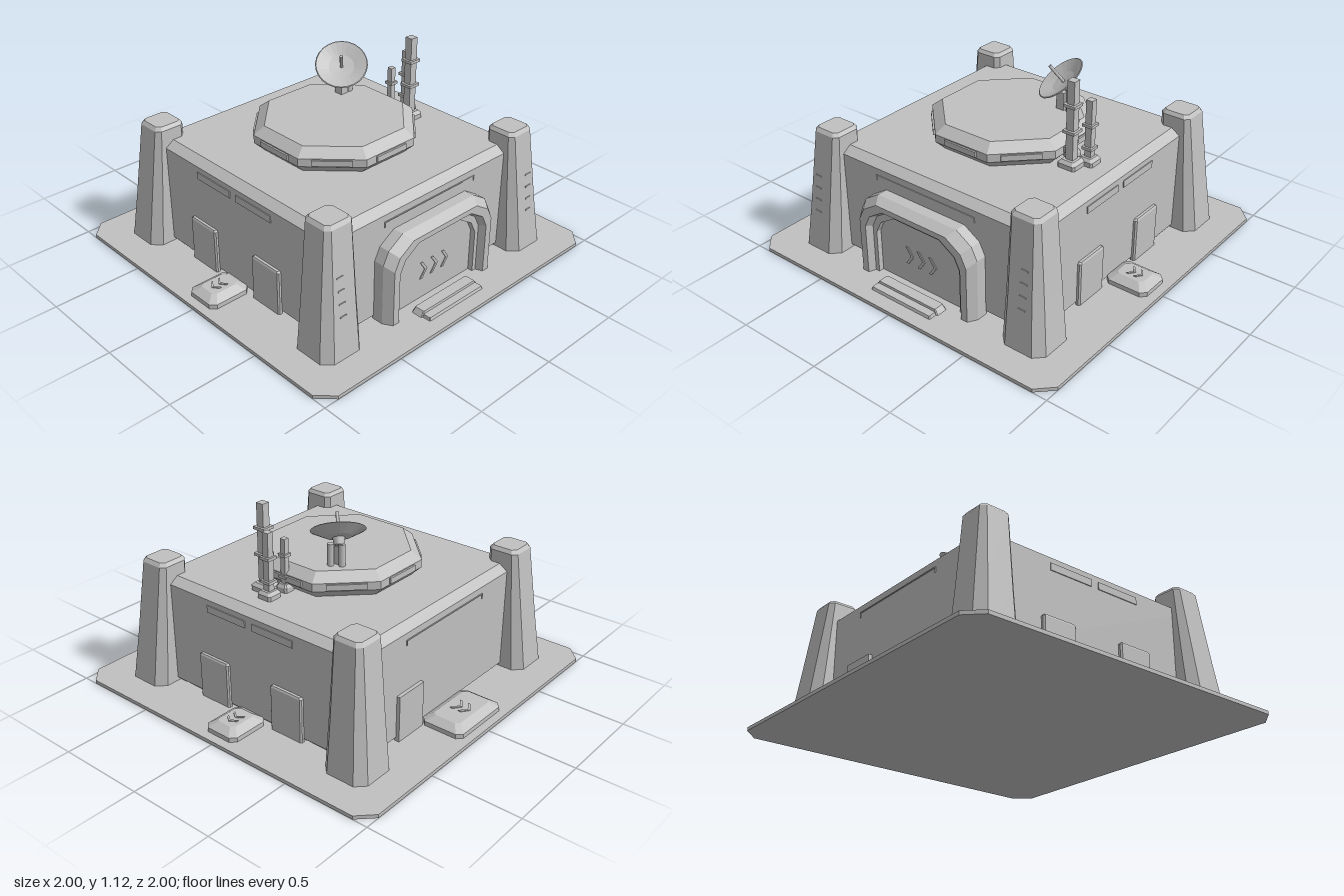
import * as THREE from 'three';

const grey = new THREE.MeshStandardMaterial({ color: 0xc0c0c0 });
grey.name = 'light grey';

// Faceted surface through rings of points; closed rings also get end caps.
function loft(rings, closed = true) {
  const v = [];
  const n = rings[0].length;
  for (let r = 0; r + 1 < rings.length; r++) {
    for (let i = 0; i < (closed ? n : n - 1); i++) {
      const j = (i + 1) % n;
      const [a, b, c, d] = [rings[r][i], rings[r][j], rings[r + 1][j], rings[r + 1][i]];
      v.push(...a, ...b, ...c, ...a, ...c, ...d);
    }
  }
  if (closed) {
    const lo = rings[0], hi = rings[rings.length - 1];
    for (let i = 1; i < n - 1; i++) {
      v.push(...hi[0], ...hi[i], ...hi[i + 1], ...lo[0], ...lo[i + 1], ...lo[i]);
    }
  }
  const g = new THREE.BufferGeometry();
  g.setAttribute('position', new THREE.Float32BufferAttribute(v, 3));
  g.computeVertexNormals();
  return g;
}

// Horizontal rectangle with cut corners.
function ring(y, hx, hz, c, cx = 0, cz = 0) {
  return [
    [hx, hz - c], [hx, c - hz], [hx - c, -hz], [c - hx, -hz],
    [-hx, c - hz], [-hx, hz - c], [c - hx, hz], [hx - c, hz],
  ].map(([x, z]) => [cx + x, y, cz + z]);
}

// Doorway outline, from the right foot over the top to the left foot.
function arch(w, h, z) {
  const half = [[w, 0.02], [w, h - 0.13], [w - 0.035, h - 0.06], [w - 0.13, h]];
  const other = half.map(([x, y]) => [-x, y]).reverse();
  return [...half, ...other].map(([x, y]) => [x, y, z]);
}

// Thin chevron pointing to +x in the xy plane.
function chevronGeometry(s) {
  const pts = [[-0.5, 1], [-0.15, 1], [0.55, 0], [-0.15, -1], [-0.5, -1], [0.2, 0]];
  const shape = new THREE.Shape(pts.map(([x, y]) => new THREE.Vector2(x * s, y * s)));
  return new THREE.ExtrudeGeometry(shape, { depth: 0.005, bevelEnabled: false });
}

export function createModel() {
  const model = new THREE.Group();
  model.name = 'outpostBuilding';

  const add = (name, geometry, x = 0, y = 0, z = 0, parent = model) => {
    const m = new THREE.Mesh(geometry, grey);
    m.name = name;
    m.position.set(x, y, z);
    parent.add(m);
    return m;
  };
  const box = (name, w, h, d, x, y, z, parent) =>
    add(name, new THREE.BoxGeometry(w, h, d), x, y, z, parent);

  // Ground plate and main hall
  add('groundPlate', loft([ring(0, 1, 1, 0.085), ring(0.02, 1, 1, 0.085)]));
  add('hall', loft([
    ring(0.02, 0.685, 0.685, 0.02), ring(0.04, 0.705, 0.705, 0.02),
    ring(0.605, 0.705, 0.705, 0.02), ring(0.64, 0.655, 0.655, 0.02),
  ]));

  // Tapered corner towers: inner sides upright, outer sides sloping in
  for (const sx of [-1, 1]) {
    for (const sz of [-1, 1]) {
      const level = (y, inner, outer, c) => {
        const mid = (inner + outer) / 2, h = (outer - inner) / 2;
        return ring(y, h, h, c, sx * mid, sz * mid);
      };
      add('cornerTower', loft([
        level(0.02, 0.568, 0.832, 0.05), level(0.3, 0.57, 0.798, 0.042),
        level(0.71, 0.573, 0.75, 0.025), level(0.73, 0.588, 0.735, 0.02),
      ]));
    }
    // Slits on the front towers
    for (let i = 0; i < 4; i++) {
      const y = 0.46 - i * 0.07;
      box('towerSlit', 0.04, 0.008, 0.008, sx * 0.7, y, 0.832 - (y - 0.02) * 0.12);
    }
  }

  // Octagonal roof platform with a panel on each side
  const oct = (y, a) => ring(y, a, a, a * 0.586);
  add('roofPlatform', loft([oct(0.64, 0.37), oct(0.69, 0.42), oct(0.735, 0.42), oct(0.78, 0.365)]));
  for (let i = 0; i < 8; i++) {
    const a = (i * Math.PI) / 4;
    box('platformPanel', 0.21, 0.032, 0.02, Math.sin(a) * 0.42, 0.713, Math.cos(a) * 0.42).rotation.y = a;
  }

  // Satellite dish on its mount
  box('dishMount', 0.05, 0.1, 0.05, 0.21, 0.83, -0.17);
  for (const [x, z] of [[0.26, -0.16], [0.23, -0.21]]) {
    add('dishPost', new THREE.CylinderGeometry(0.018, 0.018, 0.12, 8), x, 0.84, z);
  }
  const dish = new THREE.Group();
  dish.name = 'satelliteDish';
  dish.position.set(0.2, 0.955, -0.16);
  dish.quaternion.setFromUnitVectors(
    new THREE.Vector3(0, 1, 0), new THREE.Vector3(-0.44, 0.78, 0.44).normalize());
  model.add(dish);
  const bowl = [[0, -0.045], [0.07, -0.036], [0.145, 0], [0.14, 0.004], [0.07, -0.022], [0, -0.03]];
  add('dishBowl', new THREE.LatheGeometry(bowl.map((p) => new THREE.Vector2(...p)), 24)
    .toNonIndexed(), 0, 0, 0, dish).geometry.computeVertexNormals();
  add('dishFeed', new THREE.CylinderGeometry(0.009, 0.009, 0.12, 8), 0, 0.035, 0, dish);
  add('dishHub', new THREE.CylinderGeometry(0.035, 0.025, 0.05, 8), 0, -0.055, 0, dish);

  // Antenna masts: x, z, top, width, collar heights
  const masts = [
    [0.47, 0.105, 1.12, 0.045, [0.84, 0.985]],
    [0.525, 0.025, 1.0, 0.038, [0.73, 0.86]],
    [0.412, 0.018, 0.93, 0.03, [0.72, 0.84]],
  ];
  for (const [x, z, top, w, collars] of masts) {
    box('mast', w, top - 0.64, w, x, (top + 0.64) / 2, z);
    for (const y of collars) box('mastCollar', w * 1.6, 0.016, w * 1.6, x, y, z);
    const b = w * 1.2;
    add('mastFoot', loft([ring(0.64, b, b, 0.01, x, z), ring(0.665, b, b, 0.01, x, z),
      ring(0.682, b * 0.7, b * 0.7, 0.007, x, z)]));
  }

  // Front gateway: bevelled hood, recessed door, chevrons and steps
  const hood = [[0.395, 0.5, 0.7], [0.395, 0.5, 0.765], [0.365, 0.47, 0.815], [0.325, 0.44, 0.815],
    [0.31, 0.43, 0.775], [0.285, 0.4, 0.775], [0.285, 0.4, 0.74]];
  add('gatewayHood', loft(hood.map((s) => arch(...s)), false));
  const door = new THREE.Shape(arch(0.285, 0.4, 0).map(([x, y]) => new THREE.Vector2(x, y)));
  add('gatewayDoor', new THREE.ExtrudeGeometry(door, { depth: 0.04, bevelEnabled: false }), 0, 0, 0.705);
  for (let i = -1; i < 2; i++) add('doorChevron', chevronGeometry(0.05), i * 0.08, 0.19, 0.745);
  add('upperStep', loft([ring(0.02, 0.215, 0.035, 0.005, 0, 0.835), ring(0.048, 0.195, 0.03, 0.005, 0, 0.835)]));
  add('lowerStep', loft([ring(0.02, 0.205, 0.027, 0.005, 0, 0.89), ring(0.036, 0.2, 0.022, 0.005, 0, 0.89)]));

  // Side doors, vents and loading pads
  const pad = (name, hx, hz, cx, cz) => add(name, loft([
    ring(0.02, hx, hz, 0.03, cx, cz), ring(0.045, hx, hz, 0.03, cx, cz),
    ring(0.075, hx - 0.045, hz - 0.045, 0.02, cx, cz),
  ]));
  const padChevron = (x, z, turn, s) => {
    const m = add('padChevron', chevronGeometry(s), x, 0.075, z);
    m.rotation.set(-Math.PI / 2, 0, turn);
  };
  for (const s of [-1, 1]) {
    for (const z of [-0.255, 0.255]) {
      add('sideDoor', loft([ring(0.02, 0.015, 0.105, 0.008, s * 0.71, z),
        ring(0.27, 0.015, 0.105, 0.008, s * 0.71, z), ring(0.28, 0.01, 0.095, 0.005, s * 0.71, z)]));
      box('sideVent', 0.008, 0.04, 0.27, s * 0.706, 0.555, Math.sign(z) * 0.16);
    }
    pad('sidePad', 0.125, 0.105, s * 0.825, 0);
    for (const d of [0, 0.045]) padChevron(s * (0.81 + d), 0, s > 0 ? 0 : Math.PI, 0.035);
  }

  // Back door and pad
  box('backDoor', 0.2, 0.26, 0.03, 0.3, 0.15, -0.71);
  pad('backPad', 0.195, 0.125, 0, -0.83);
  for (const d of [0, 0.05]) padChevron(0, -0.81 - d, Math.PI / 2, 0.045);

  // Bracket-shaped trim on the front and back walls
  for (const s of [-1, 1]) {
    box('wallTrim', 0.66, 0.006, 0.006, 0, 0.565, s * 0.706);
    for (const x of [-0.33, 0.33]) box('wallTrimEnd', 0.006, 0.03, 0.006, x, 0.552, s * 0.706);
  }
  return model;
}
